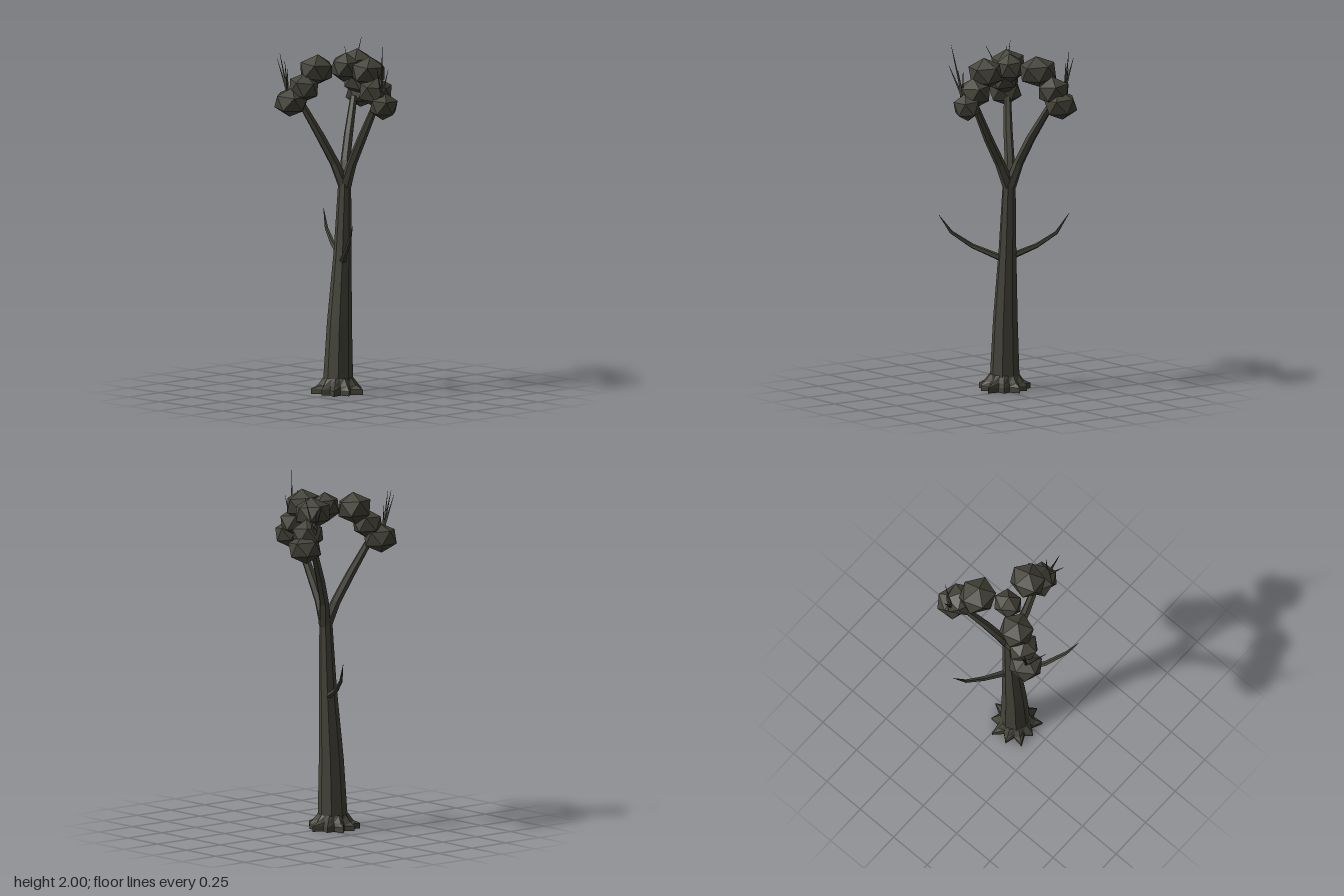
import * as THREE from 'three';

const bark = new THREE.MeshStandardMaterial({ color: 0x45443a, flatShading: true });
bark.name = 'dark bark';

const V = (p) => new THREE.Vector3(...p);

// Lofts rings along a path; spread(i, ring) scales single corners of a ring
function loft(name, path, radii, sides, spread = () => 1) {
  const pts = path.map(V), pos = [], idx = [], up = new THREE.Vector3(0, 1, 0);
  pts.forEach((p, r) => {
    const dir = pts[Math.min(r + 1, pts.length - 1)].clone().sub(pts[Math.max(r - 1, 0)]).normalize();
    const q = new THREE.Quaternion().setFromUnitVectors(up, dir);
    for (let i = 0; i < sides; i++) {
      const a = (i / sides) * Math.PI * 2, k = radii[r] * spread(i, r);
      const v = new THREE.Vector3(Math.cos(a) * k, 0, Math.sin(a) * k).applyQuaternion(q).add(p);
      pos.push(v.x, v.y, v.z);
      if (r < pts.length - 1) {
        const b = r * sides + i, c = r * sides + ((i + 1) % sides);
        idx.push(b, b + sides, c, c, b + sides, c + sides);
      }
    }
  });
  // end caps
  const n = pts.length * sides, last = n - sides;
  pos.push(...path[0], ...path[path.length - 1]);
  for (let i = 0; i < sides; i++) {
    const j = (i + 1) % sides;
    idx.push(n, i, j, n + 1, last + j, last + i);
  }
  const g = new THREE.BufferGeometry();
  g.setAttribute('position', new THREE.Float32BufferAttribute(pos, 3));
  g.setIndex(idx);
  g.computeVertexNormals();
  const m = new THREE.Mesh(g, bark);
  m.name = name;
  return m;
}

// Faceted foliage ball with one corner pointing up
function ball([x, y, z], [rx, ry, rz], turn) {
  const g = new THREE.IcosahedronGeometry(1, 0);
  g.rotateZ(-Math.atan(2 / (1 + Math.sqrt(5))));
  g.rotateY(turn);
  g.rotateX(0.12);
  g.scale(rx, ry, rz);
  const m = new THREE.Mesh(g, bark);
  m.name = 'foliageBall';
  m.position.set(x, y, z);
  return m;
}

export function createModel() {
  const tree = new THREE.Group();
  tree.name = 'tree';

  // Leaning, tapering trunk
  tree.add(loft('trunk',
    [[-0.055, 0.02, -0.034], [-0.045, 0.4, -0.032], [-0.022, 0.8, -0.03], [-0.004, 1.23, -0.03]],
    [0.086, 0.07, 0.05, 0.035], 8));

  // Star-shaped root flare
  const reach = [1, 0.88, 1.04, 0.92, 1, 0.86, 1.02, 0.95, 1.03, 0.9];
  tree.add(loft('roots',
    [[-0.056, 0, -0.032], [-0.056, 0.03, -0.032], [-0.056, 0.05, -0.032], [-0.056, 0.09, -0.033]],
    [0.15, 0.15, 0.115, 0.085], 20,
    (i, r) => (i % 2 ? [0.66, 0.66, 0.8, 0.9][r] : r < 2 ? reach[i / 2] : 1)));

  // Thin side branches
  tree.add(loft('sideBranch',
    [[-0.01, 0.765, -0.05], [0.05, 0.82, -0.18], [0.1, 0.89, -0.28], [0.136, 1, -0.342]],
    [0.02, 0.014, 0.01, 0.001], 5));
  tree.add(loft('sideBranch',
    [[-0.04, 0.75, -0.01], [-0.15, 0.82, 0.12], [-0.215, 0.9, 0.22], [-0.25, 1, 0.28]],
    [0.02, 0.014, 0.01, 0.001], 5));

  // Three forks, each with foliage balls and a tuft of spikes
  const crowns = [
    {
      fork: [[-0.01, 1.17, -0.03], [-0.05, 1.3, -0.065], [-0.12, 1.45, -0.105], [-0.21, 1.64, -0.165]],
      balls: [[[-0.14, 1.83, -0.12], [0.105, 0.09, 0.105]], [[-0.215, 1.735, -0.145], [0.09, 0.085, 0.095]],
        [[-0.27, 1.655, -0.19], [0.105, 0.085, 0.1]]],
      root: [-0.285, 1.7, -0.2],
      tips: [[-0.375, 1.9, -0.135], [-0.325, 1.9, -0.245], [-0.3, 1.93, -0.25], [-0.28, 1.84, -0.21]],
    },
    {
      fork: [[0.005, 1.17, -0.03], [0.035, 1.3, -0.065], [0.1, 1.45, -0.105], [0.2, 1.64, -0.165]],
      balls: [[[0.16, 1.835, -0.11], [0.11, 0.09, 0.115]], [[0.24, 1.73, -0.16], [0.095, 0.085, 0.1]],
        [[0.28, 1.655, -0.18], [0.1, 0.085, 0.1]]],
      root: [0.25, 1.73, -0.23],
      tips: [[0.31, 1.96, -0.215], [0.25, 1.91, -0.29], [0.245, 1.88, -0.24], [0.285, 1.86, -0.23]],
    },
    {
      fork: [[-0.005, 1.17, -0.025], [-0.01, 1.3, 0.03], [-0.01, 1.45, 0.11], [0, 1.64, 0.205]],
      balls: [[[0.01, 1.83, 0.145], [0.112, 0.09, 0.1]], [[0, 1.725, 0.21], [0.11, 0.085, 0.095]],
        [[0.005, 1.65, 0.27], [0.095, 0.08, 0.075]]],
      root: [-0.02, 1.7, 0.28],
      tips: [[-0.065, 2, 0.328], [-0.1, 1.88, 0.32], [-0.04, 1.86, 0.3], [0.01, 1.86, 0.3]],
    },
  ];
  crowns.forEach((c, n) => {
    const crown = new THREE.Group();
    crown.name = 'crown';
    crown.add(loft('fork', c.fork, [0.034, 0.028, 0.026, 0.02], 6));
    c.balls.forEach(([p, s], i) => crown.add(ball(p, s, n * 1.3 + i * 0.8)));
    c.tips.forEach((t) => crown.add(loft('spike', [c.root, t], [0.009, 0.001], 4)));
    tree.add(crown);
  });

  // Ball joining the three crowns
  tree.add(ball([0, 1.84, -0.035], [0.09, 0.085, 0.08], 0.4));

  return tree;
}
